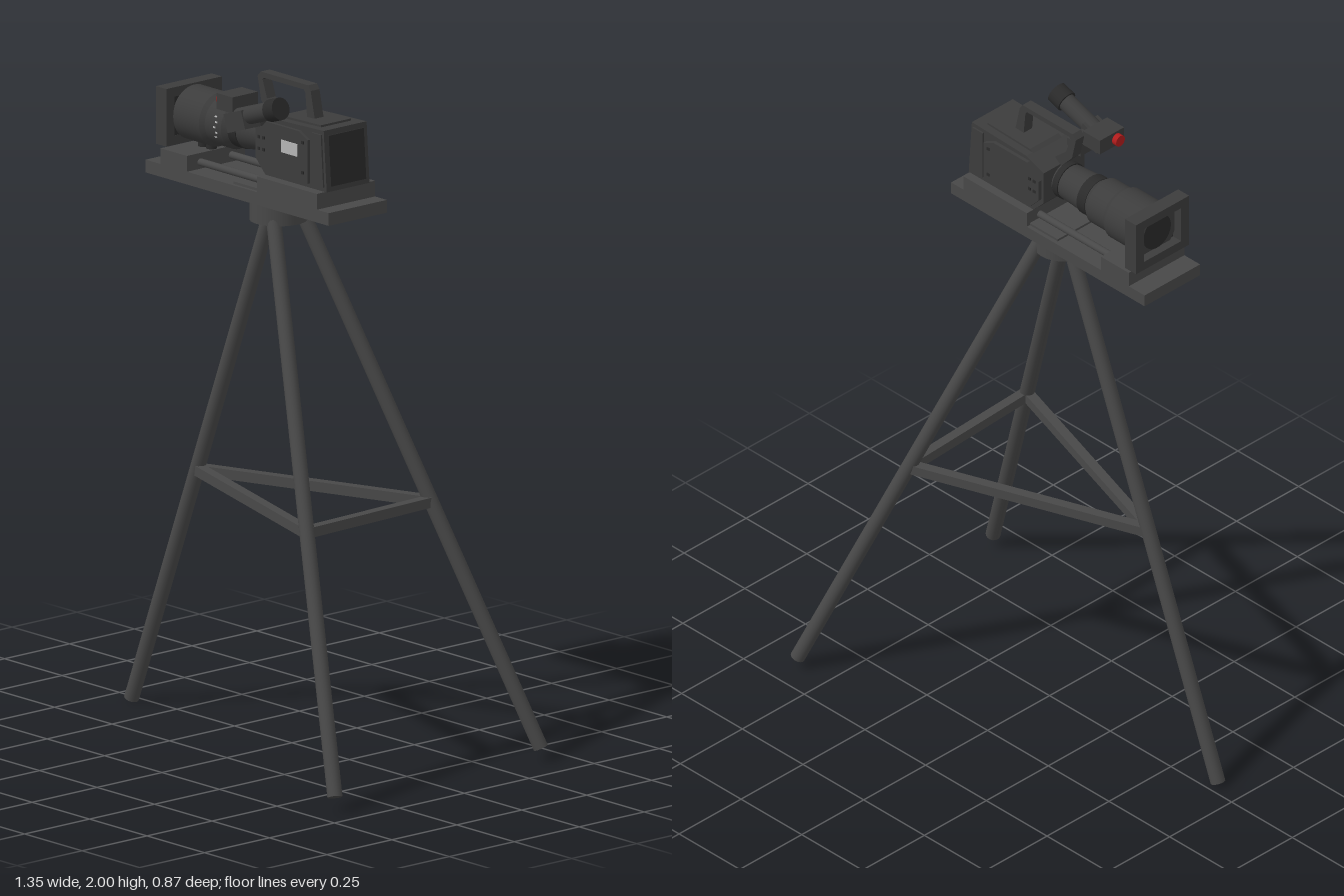
import * as THREE from 'three';

const mat = (name, color) => {
  const m = new THREE.MeshStandardMaterial({ color });
  m.name = name;
  return m;
};

export function createModel() {
  const root = new THREE.Group();
  root.name = 'cameraOnTripod';
  const metal = mat('tripodGrey', 0x484848);
  const shell = mat('cameraCharcoal', 0x3c3c3c);
  const dark = mat('rubberBlack', 0x2a2a2a);
  const red = mat('eyepieceRed', 0xb01c1c);
  const light = mat('labelGrey', 0xb4b4b4);

  const add = (name, geometry, material) => {
    const mesh = new THREE.Mesh(geometry, material);
    mesh.name = name;
    root.add(mesh);
    return mesh;
  };
  // Box given by its limits on each axis
  const box = (name, x0, x1, y0, y1, z0, z1, m) => {
    const b = add(name, new THREE.BoxGeometry(x1 - x0, y1 - y0, z1 - z0), m);
    b.position.set((x0 + x1) / 2, (y0 + y1) / 2, (z0 + z1) / 2);
    return b;
  };
  // Round rod from a to b, with a radius at each end
  const rod = (name, a, b, ra, rb, m, sides = 20) => {
    const p = new THREE.Vector3(...a), q = new THREE.Vector3(...b);
    const r = add(name, new THREE.CylinderGeometry(rb, ra, p.distanceTo(q), sides), m);
    r.position.copy(p).lerp(q, 0.5);
    r.quaternion.setFromUnitVectors(new THREE.Vector3(0, 1, 0), q.sub(p).normalize());
    return r;
  };
  // Side profile in x and y, given depth from z0 to z1
  const slab = (name, points, z0, z1, m, hole) => {
    const shape = new THREE.Shape(points.map(p => new THREE.Vector2(...p)));
    if (hole) shape.holes.push(new THREE.Path(hole.map(p => new THREE.Vector2(...p))));
    const s = add(name, new THREE.ExtrudeGeometry(shape, { depth: z1 - z0, bevelEnabled: false }), m);
    s.position.z = z0;
    return s;
  };

  // Tripod legs, with braces joining them at one height
  const legs = [
    [[-0.045, 1.6, 0.035], [-0.658, 0.009, 0.035]],
    [[0.02, 1.6, 0.09], [0.653, 0.043, 0.412]],
    [[0.02, 1.6, -0.015], [0.613, 0.035, -0.416]],
  ];
  const braceY = 0.75;
  const joints = legs.map(([a, b]) => {
    rod('tripodLeg', b, a, 0.022, 0.022, metal, 16);
    const t = (a[1] - braceY) / (a[1] - b[1]);
    return new THREE.Vector3(...a).lerp(new THREE.Vector3(...b), t);
  });
  joints.forEach((p, i) => {
    const q = joints[(i + 1) % 3];
    const brace = add('legBrace', new THREE.BoxGeometry(p.distanceTo(q), 0.03, 0.03), metal);
    brace.position.copy(p).lerp(q, 0.5);
    brace.rotation.y = -Math.atan2(q.z - p.z, q.x - p.x);
  });

  // Tripod head and sliding mount plate
  rod('tripodHead', [-0.01, 1.57, 0.043], [-0.01, 1.64, 0.043], 0.084, 0.084, metal, 32);
  box('mountPlate', -0.465, 0.332, 1.637, 1.675, -0.072, 0.152, metal);
  box('rearMountBlock', 0.02, 0.28, 1.675, 1.722, -0.072, 0.152, metal);
  box('frontMountBlock', -0.4, -0.285, 1.675, 1.722, -0.072, 0.152, metal);
  box('plateRidge', -0.095, 0.02, 1.675, 1.682, -0.06, 0.14, metal);
  for (const z of [-0.02, 0.1]) {
    rod('supportRail', [-0.29, 1.695, z], [0.03, 1.695, z], 0.011, 0.011, metal, 16);
  }
  for (const x of [-0.34, -0.305]) {
    rod('lensSupport', [x, 1.72, 0.04], [x, 1.76, 0.04], 0.016, 0.016, dark, 16);
  }

  // Lens barrel along x
  const lensY = 1.815, cz = 0.038;
  const barrel = (name, x0, x1, r0, r1, m) =>
    rod(name, [x0, lensY, cz], [x1, lensY, cz], r0, r1, m, 40);
  barrel('lensFrontBarrel', -0.4, -0.27, 0.081, 0.081, shell);
  barrel('lensShoulder', -0.27, -0.255, 0.081, 0.072, shell);
  barrel('lensZoomRing', -0.255, -0.185, 0.072, 0.072, shell);
  barrel('lensStep', -0.185, -0.168, 0.072, 0.06, shell);
  barrel('lensFocusRing', -0.168, -0.135, 0.062, 0.062, dark);
  barrel('lensRearBarrel', -0.135, 0.0, 0.059, 0.05, shell);
  barrel('lensMountRing', -0.05, -0.03, 0.057, 0.057, dark);
  for (let i = 0; i < 5; i++) {
    const a = (i - 2) * 0.22;
    const tick = add('lensMark', new THREE.BoxGeometry(0.009, 0.005, 0.003), light);
    tick.position.set(-0.213 + (i % 2) * 0.007, lensY + 0.072 * Math.sin(a), cz + 0.072 * Math.cos(a));
    tick.rotation.x = -a;
  }

  // Lens hood: square frame around a recessed glass
  const square = (hz, hy) => [[-hz, -hy], [hz, -hy], [hz, hy], [-hz, hy]];
  const hood = slab('lensHood', square(0.107, 0.086), 0, 0.045, shell, square(0.075, 0.058));
  hood.rotation.y = -Math.PI / 2;
  hood.position.set(-0.382, lensY, cz);
  box('hoodBack', -0.393, -0.383, lensY - 0.07, lensY + 0.07, cz - 0.085, cz + 0.085, dark);
  rod('lensGlass', [-0.4, lensY, cz], [-0.405, lensY, cz], 0.055, 0.055, dark, 40);

  // Camera body with raised side panels
  slab('cameraBody', [[0.02, 1.722], [0.287, 1.722], [0.274, 1.903], [0.05, 1.896],
    [-0.022, 1.87], [-0.022, 1.765]], -0.045, 0.12, shell);
  const panel = [[0.025, 1.735], [0.215, 1.735], [0.215, 1.865], [0.175, 1.885],
    [0.035, 1.885], [-0.012, 1.84], [-0.012, 1.775]];
  slab('leftSidePanel', panel, 0.119, 0.13, shell);
  slab('rightSidePanel', panel, -0.056, -0.044, shell);
  slab('rearSidePanel', [[0.225, 1.735], [0.277, 1.735], [0.267, 1.89], [0.225, 1.89]], -0.05, 0.125, shell);
  const top = slab('topCover', [[0.03, 1.885], [0.235, 1.898], [0.235, 1.908], [0.06, 1.903]], -0.02, 0.095, shell);
  top.name = 'topCover';
  const rear = box('rearPanel', -0.004, 0.004, -0.075, 0.075, -0.03, 0.105, dark);
  rear.position.set(0.281, 1.812, cz);
  rear.rotation.z = 0.072;
  box('sideLabel', 0.103, 0.172, 1.808, 1.845, 0.129, 0.133, light);
  for (const [x, y] of [[0.0, 1.795], [0.02, 1.795], [0.0, 1.83], [0.02, 1.83], [0.19, 1.76], [0.19, 1.85]]) {
    box('sideButton', x, x + 0.009, y, y + 0.009, 0.128, 0.133, dark);
    box('sideButton', x, x + 0.009, y, y + 0.009, -0.059, -0.054, dark);
  }

  // Carrying handle arching over the body
  slab('carryHandle', [[-0.025, 1.865], [0.0, 1.885], [-0.045, 1.925], [-0.064, 1.978], [-0.058, 1.984],
    [0.115, 1.984], [0.122, 1.975], [0.13, 1.895], [0.165, 1.895], [0.145, 1.985], [0.134, 2.0],
    [-0.072, 2.0], [-0.086, 1.985], [-0.07, 1.915]], 0.022, 0.056, shell);

  // Viewfinder: sloping tube, joint block, bracket and red-tipped lamp
  rod('viewfinderTube', [-0.02, 1.897, 0.182], [0.13, 1.948, 0.182], 0.027, 0.027, shell, 24);
  rod('viewfinderEyecup', [0.115, 1.943, 0.182], [0.157, 1.957, 0.182], 0.033, 0.033, dark, 24);
  const joint = box('viewfinderBlock', -0.05, 0.03, 1.862, 1.918, 0.152, 0.213, shell);
  joint.rotation.z = 0.33;
  box('viewfinderArm', -0.035, 0.02, 1.87, 1.91, 0.09, 0.16, shell);
  box('viewfinderBracket', -0.105, -0.035, 1.907, 1.955, 0.1, 0.198, shell);
  rod('redEyepiece', [-0.122, 1.93, 0.167], [-0.1, 1.93, 0.167], 0.018, 0.018, red, 16);

  return root;
}
